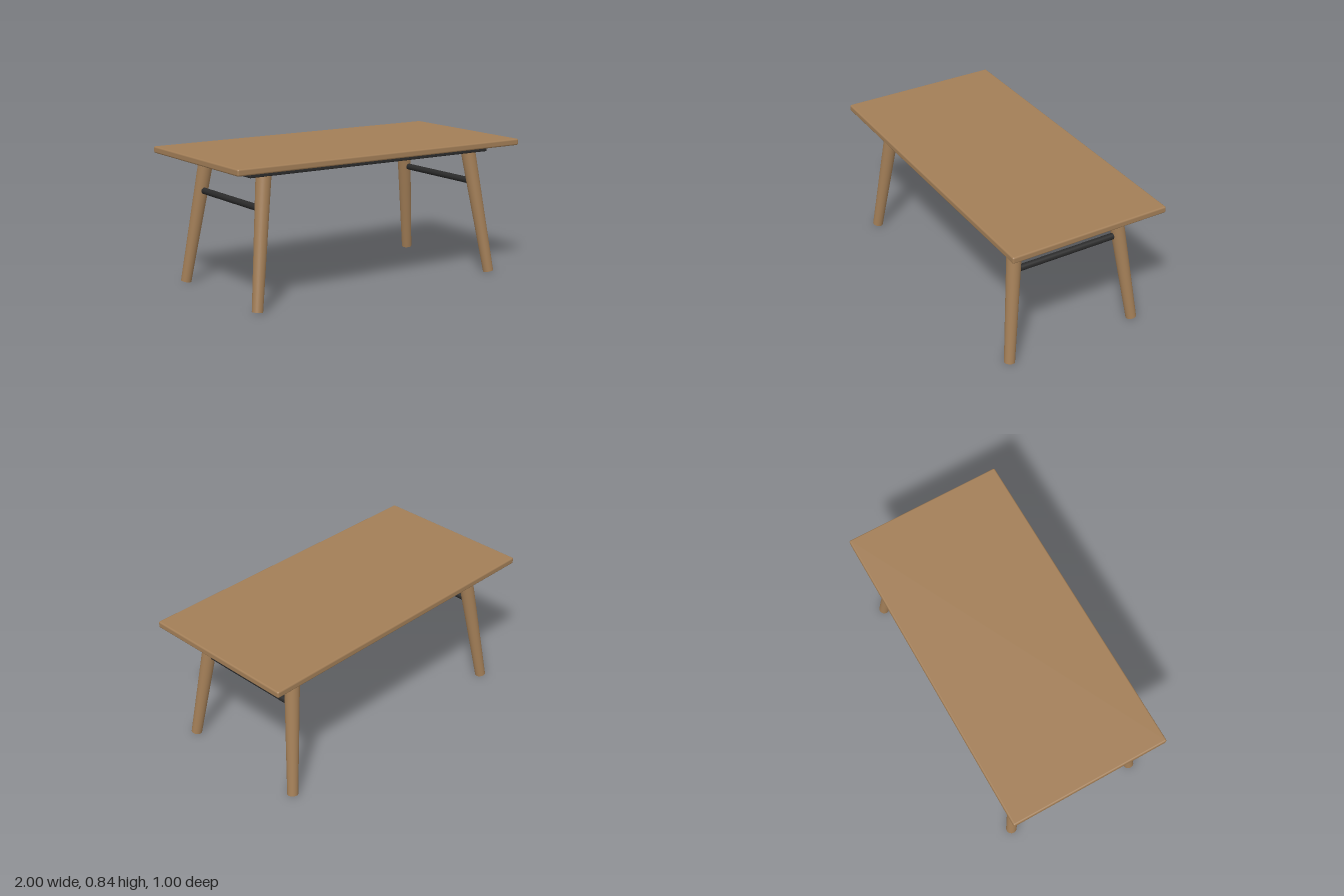
import * as THREE from 'three';
import { RoundedBoxGeometry } from 'three/addons/geometries/RoundedBoxGeometry.js';

const UP = new THREE.Vector3(0, 1, 0);

export function createModel() {
  const wood = new THREE.MeshStandardMaterial({ name: 'wood', color: 0xa27e57 });
  const black = new THREE.MeshStandardMaterial({ name: 'blackPaint', color: 0x2b2b2b });
  const model = new THREE.Group();
  model.name = 'table';

  const add = (name, geometry, material, x, y, z) => {
    const mesh = new THREE.Mesh(geometry, material);
    mesh.name = name;
    mesh.position.set(x, y, z);
    model.add(mesh);
    return mesh;
  };

  // Table top and the dark frame beneath it
  add('tableTop', new RoundedBoxGeometry(2, 0.04, 1, 3, 0.01), wood, 0, 0.82, 0);
  add('underFrame', new RoundedBoxGeometry(1.704, 0.041, 0.754, 3, 0.005), black, 0, 0.7795, 0);

  // Splayed, tapered legs: thicker at the top, which sits inside the frame
  for (const sx of [-1, 1]) {
    for (const sz of [-1, 1]) {
      const foot = new THREE.Vector3(sx * 0.843, 0.006, sz * 0.423);
      const head = new THREE.Vector3(sx * 0.736, 0.775, sz * 0.329);
      const axis = head.clone().sub(foot);
      const mid = foot.clone().add(head).multiplyScalar(0.5);
      const leg = add(
        (sz > 0 ? 'front' : 'back') + (sx > 0 ? 'Left' : 'Right') + 'Leg',
        new THREE.CylinderGeometry(0.045, 0.032, axis.length(), 32), wood, mid.x, mid.y, mid.z);
      leg.quaternion.setFromUnitVectors(UP, axis.normalize());
    }
  }

  // Round stretcher between the legs at each end, with softened rims
  const r = 0.0195, h = 0.313, b = 0.004;
  const profile = [[0, -h], [r - b, -h], [r, b - h], [r, h - b], [r - b, h], [0, h]]
    .map(([x, y]) => new THREE.Vector2(x, y));
  for (const sx of [-1, 1]) {
    const bar = add(sx > 0 ? 'leftStretcher' : 'rightStretcher',
      new THREE.LatheGeometry(profile, 24), black, sx * 0.767, 0.574, 0);
    bar.rotation.x = Math.PI / 2;
  }
  return model;
}
